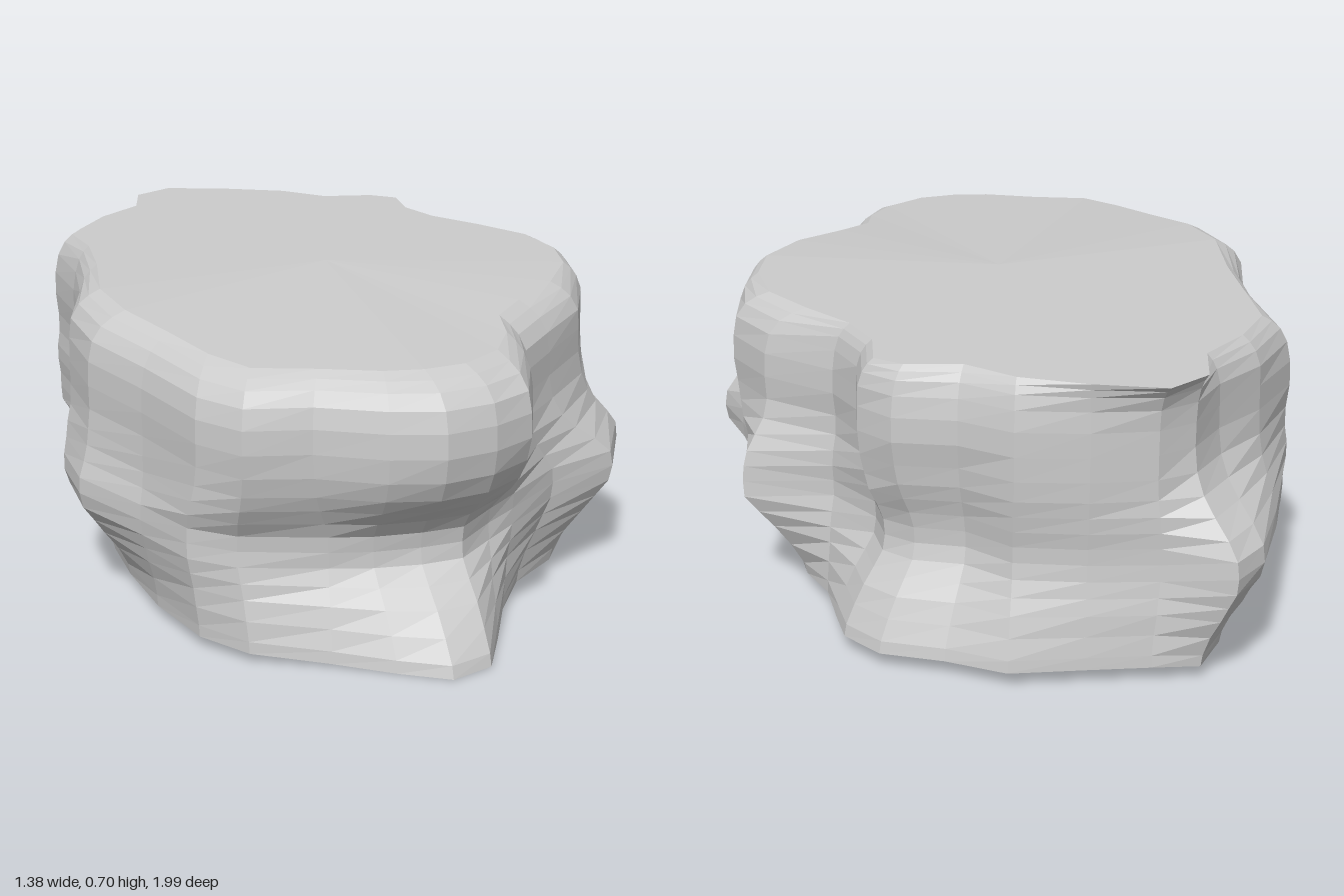
import * as THREE from 'three';

// Plan outlines as x, z pairs, starting at the front toe and running round by +x
const FOOT = [
  .03, .99, .13, .95, .19, .82, .25, .68, .33, .55, .45, .45, .54, .30, .57, .12,
  .56, -.05, .53, -.20, .52, -.31, .48, -.42, .47, -.56, .46, -.66, .39, -.76, .25, -.82,
  .12, -.90, -.05, -.91, -.20, -.92, -.31, -.93, -.38, -.82, -.45, -.64, -.50, -.46, -.52, -.28,
  -.56, -.08, -.57, .12, -.56, .29, -.53, .49, -.47, .68, -.38, .79, -.21, .86, -.08, .93];
const LOWER = [
  .01, .80, .11, .79, .20, .71, .28, .65, .42, .53, .60, .46, .69, .27, .65, .12,
  .63, -.03, .64, -.18, .67, -.28, .46, -.40, .37, -.54, .36, -.64, .30, -.70, .19, -.74,
  .10, -.84, -.06, -.88, -.22, -.90, -.37, -1.0, -.45, -.92, -.53, -.73, -.61, -.50, -.59, -.30,
  -.62, -.08, -.69, .17, -.68, .34, -.57, .53, -.50, .69, -.40, .76, -.20, .79, -.10, .80];
const UPPER = [
  .02, .95, .14, .92, .24, .86, .30, .70, .33, .59, .42, .49, .55, .35, .62, .18,
  .65, .03, .67, -.11, .60, -.26, .45, -.40, .41, -.52, .42, -.65, .35, -.73, .21, -.77,
  .10, -.86, -.06, -.89, -.21, -.90, -.30, -.86, -.38, -.76, -.50, -.66, -.61, -.50, -.59, -.30,
  -.61, -.10, -.67, .14, -.65, .33, -.56, .52, -.48, .73, -.40, .83, -.25, .85, -.10, .92];
const RIM = [
  0, .84, .10, .82, .20, .74, .26, .63, .28, .52, .36, .43, .48, .32, .57, .17,
  .60, .02, .58, -.14, .50, -.28, .41, -.41, .37, -.53, .38, -.66, .32, -.71, .19, -.73,
  .09, -.83, -.06, -.90, -.22, -.95, -.32, -.88, -.35, -.74, -.46, -.63, -.54, -.50, -.55, -.30,
  -.56, -.10, -.59, .14, -.56, .32, -.49, .48, -.43, .63, -.36, .74, -.22, .78, -.09, .83];

// Rings: height, then the shares of foot, lower bulge and rim (rest is upper bulge)
const RINGS = [
  [0, 1, 0, 0], [.03, .95, .05, 0], [.08, .75, .25, 0], [.13, .5, .5, 0], [.17, .28, .72, 0],
  [.21, .06, .94, 0], [.25, 0, 1, 0], [.29, 0, .96, 0], [.33, 0, .75, 0], [.37, 0, .45, 0],
  [.41, 0, .22, 0], [.46, 0, .06, 0], [.52, 0, 0, 0], [.58, 0, 0, .02], [.63, 0, 0, .1],
  [.665, 0, 0, .35], [.685, 0, 0, .65], [.70, 0, 0, 1]];
const N = FOOT.length / 2;

// Repeatable value in -1..1 for each block of strata
const hash = (a, b) => {
  const s = Math.sin(a * 127.1 + b * 311.7) * 43758.5453;
  return (s - Math.floor(s)) * 2 - 1;
};

function ringPoint(j, i) {
  const [h, foot, low, rim] = RINGS[j];
  const mix = k => FOOT[k] * foot + LOWER[k] * low + RIM[k] * rim + UPPER[k] * (1 - foot - low - rim);
  const x = mix(2 * i), z = mix(2 * i + 1);
  const inner = j > 2 && j < RINGS.length - 4;
  const k = inner ? 1 + .005 * hash(i >> 1, j >> 1) / Math.hypot(x, z) : 1;
  // The top dips toward the front and the underside toward the toe
  const { smoothstep } = THREE.MathUtils;
  const base = .04 - .035 * smoothstep(z, -.2, .95) * (1 - .7 * smoothstep(Math.abs(x), .05, .5));
  const top = .71 - .04 * smoothstep(z, .15, .8);
  return [x * k, base + (top - base) * h / .7, z * k];
}

function rockGeometry() {
  const pos = [], idx = [];
  RINGS.forEach((_, j) => {
    for (let i = 0; i < N; i++) pos.push(...ringPoint(j, i));
  });
  // Layered side wall
  for (let j = 0; j < RINGS.length - 1; j++) {
    for (let i = 0; i < N; i++) {
      const n = (i + 1) % N;
      const a = j * N + i, b = j * N + n, c = b + N, d = a + N;
      idx.push(a, b, c, a, c, d);
    }
  }
  // Flat top and underside
  const last = (RINGS.length - 1) * N, under = pos.length / 3;
  pos.push(0, .03, 0, 0, .71, 0);
  for (let i = 0; i < N; i++) {
    const n = (i + 1) % N;
    idx.push(under, n, i, under + 1, last + i, last + n);
  }
  const geo = new THREE.BufferGeometry();
  geo.setAttribute('position', new THREE.Float32BufferAttribute(pos, 3));
  geo.setIndex(idx);
  geo.computeVertexNormals();
  return geo;
}

export function createModel() {
  const group = new THREE.Group();
  group.name = 'rockSlab';
  const material = new THREE.MeshStandardMaterial({ color: 0xcccccc, flatShading: true });
  const rock = new THREE.Mesh(rockGeometry(), material);
  rock.name = 'layeredRock';
  group.add(rock);
  return group;
}
